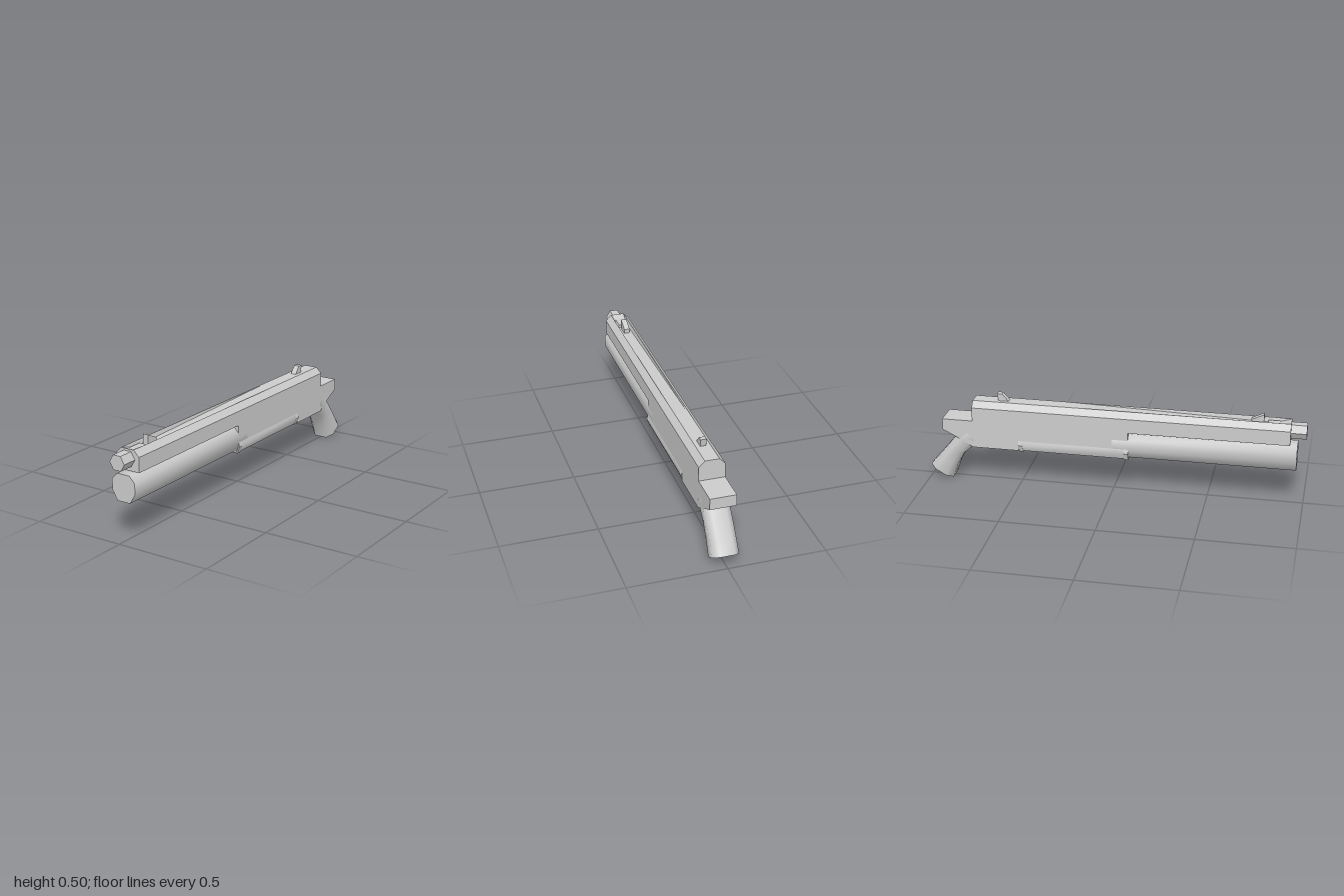
import * as THREE from 'three';
import { toCreasedNormals } from 'three/addons/utils/BufferGeometryUtils.js';

const mat = new THREE.MeshStandardMaterial({ color: 0xcccccc });
const smooth = mat.clone();
const flat = mat.clone();
flat.flatShading = true;

const toShape = (pts) => new THREE.Shape(pts.map(([x, y]) => new THREE.Vector2(x, y)));

// Adds the mirrored half of a cross-section given from bottom to top on +x
const mirrored = (half) => [...half, ...half.slice().reverse().map(([x, y]) => [-x, y])];

// Cross-section in x,y pushed along z
function alongZ(pts, z0, z1) {
  return new THREE.ExtrudeGeometry(toShape(pts), { depth: z1 - z0, bevelEnabled: false }).translate(0, 0, z0);
}

// Side profile in z,y given a width in x
function acrossX(pts, width) {
  return new THREE.ExtrudeGeometry(toShape(pts), { depth: width, bevelEnabled: false })
    .translate(0, 0, -width / 2).rotateY(-Math.PI / 2);
}

// Skin over equal-sized rings of [x, y, z], closed at both ends
function loft(rings) {
  const n = rings[0].length;
  const index = [];
  for (let r = 0; r < rings.length - 1; r++) {
    for (let i = 0; i < n; i++) {
      const a = r * n + i, b = r * n + (i + 1) % n;
      index.push(a, b, b + n, a, b + n, a + n);
    }
  }
  const last = (rings.length - 1) * n;
  for (let i = 1; i < n - 1; i++) {
    index.push(0, i + 1, i, last, last + i, last + i + 1);
  }
  const geo = new THREE.BufferGeometry();
  geo.setAttribute('position', new THREE.Float32BufferAttribute(rings.flat(2), 3));
  geo.setIndex(index);
  return geo;
}

export function createModel() {
  const group = new THREE.Group();
  const add = (name, geo, material = flat) => {
    const mesh = new THREE.Mesh(geo, material);
    mesh.name = name;
    group.add(mesh);
  };
  const W = 0.067;

  // Long chamfered housing with a shallow sighting trough along its top
  const housingRings = [[-0.75, 0.456], [-0.28, 0.456], [0.83, 0.43], [0.92, 0.456]].map(([z, floor]) =>
    mirrored([[W, 0.348], [W, 0.425], [0.037, 0.456], [0.03, floor]]).map(([x, y]) => [x, y, z]));
  add('upperHousing', loft(housingRings));

  // Six-sided muzzle
  const muzzle = new THREE.CylinderGeometry(0.043, 0.043, 0.2, 6)
    .rotateY(Math.PI / 6).rotateX(Math.PI / 2).translate(0, 0.408, 0.9);
  add('muzzle', muzzle);

  // Eight-sided tube under the housing
  const tube = mirrored([[0.037, 0.2], [W, 0.25], [W, 0.305], [0.037, 0.338]]);
  add('lowerTube', toCreasedNormals(alongZ(tube, 0, 0.957), 1.1), smooth);

  // Middle of the body, chamfered below to follow the tube
  const middle = mirrored([[0.037, 0.2], [W, 0.255], [W, 0.35]]);
  add('middleBody', alongZ(middle, -0.5, 0.085));

  // Rear block with its ledge
  add('rearBody', acrossX([
    [-0.914, 0.29], [-0.845, 0.255], [-0.75, 0.2], [-0.5, 0.2], [-0.5, 0.35], [-0.914, 0.35],
  ], 2 * W));

  // Open channel wrapped round the bottom, with a deeper rim at each end
  const channel = (bottom) => [
    [W, 0.255], [0.065, 0.234], [0.054, bottom + 0.005], [-0.054, bottom + 0.005], [-0.065, 0.234], [-W, 0.255],
    [-0.074, 0.232], [-0.06, bottom], [0.06, bottom], [0.074, 0.232],
  ];
  add('foreGrip', toCreasedNormals(alongZ(channel(0.199), -0.48, 0.065), 0.8), smooth);
  for (const [name, z] of [['foreGripFrontRim', 0.063], ['foreGripRearRim', -0.502]]) {
    add(name, alongZ(channel(0.194), z, z + 0.024));
  }

  // Curved eight-sided handle: front and back points of each section in z,y
  const sections = [
    [-0.72, 0.22, -0.80, 0.30],
    [-0.75, 0.20, -0.845, 0.255],
    [-0.81, 0.147, -0.895, 0.19],
    [-0.85, 0.075, -0.945, 0.13],
    [-0.877, 0.0, -0.997, 0.07],
  ];
  const outline = mirrored([[0.037, 0], [W, 0.25], [W, 0.75], [0.037, 1]]);
  const handleRings = sections.map(([fz, fy, bz, by]) =>
    outline.map(([x, t]) => [x, fy + (by - fy) * t, fz + (bz - fz) * t])).reverse();
  // Ring order runs from the foot up so that faces point outwards
  add('handle', toCreasedNormals(loft(handleRings.map((r) => r)), 1.1), smooth);

  // Sights
  add('frontSight', acrossX([[0.78, 0.425], [0.78, 0.487], [0.715, 0.456], [0.715, 0.425]].reverse(), 0.03));
  add('rearSight', acrossX([[-0.615, 0.45], [-0.555, 0.45], [-0.595, 0.495], [-0.622, 0.495]], 0.03));

  return group;
}
